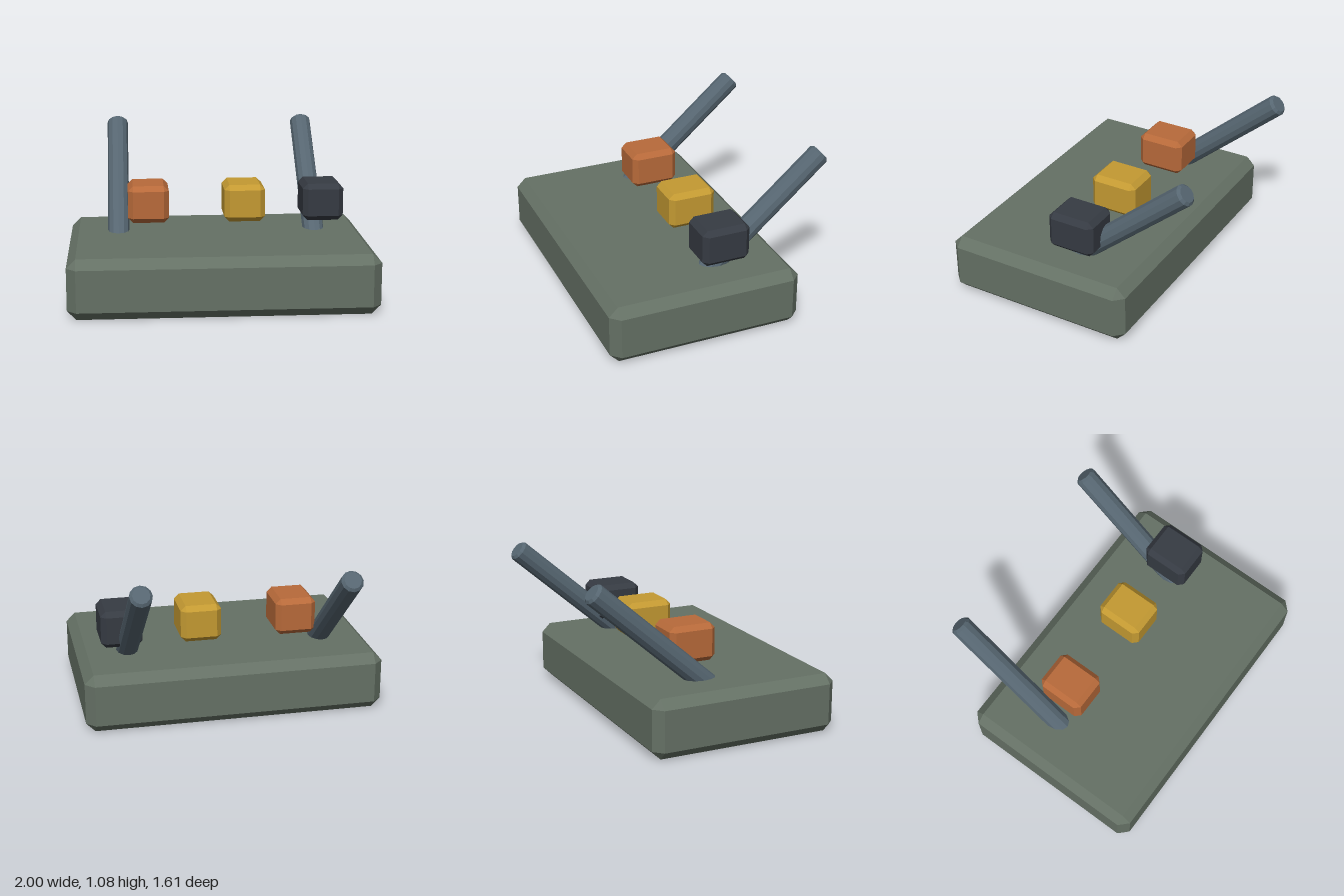
import * as THREE from 'three';
import { ConvexGeometry } from 'three/addons/geometries/ConvexGeometry.js';

const mat = (name, color) => new THREE.MeshStandardMaterial({ name, color, flatShading: true });

// Box with every edge cut by a flat chamfer c
function chamferBox(w, h, d, c) {
  const half = [w / 2, h / 2, d / 2];
  const points = [];
  for (const sx of [-1, 1]) for (const sy of [-1, 1]) for (const sz of [-1, 1]) {
    for (let face = 0; face < 3; face++) {
      const p = half.map((v, i) => (i === face ? v : v - c));
      points.push(new THREE.Vector3(sx * p[0], sy * p[1], sz * p[2]));
    }
  }
  return new ConvexGeometry(points);
}

// Twelve-sided rod with chamfered ends, its top end at the origin
function rodGeometry(r, length, c) {
  const profile = [[0, -length], [r - c, -length], [r, c - length], [r, -c], [r - c, 0], [0, 0]];
  return new THREE.LatheGeometry(profile.map(([x, y]) => new THREE.Vector2(x, y)), 12);
}

export function createModel() {
  const model = new THREE.Group();
  const add = (name, geometry, material, x, y, z) => {
    const mesh = new THREE.Mesh(geometry, material);
    mesh.name = name;
    mesh.position.set(x, y, z);
    model.add(mesh);
    return mesh;
  };

  // Base slab
  add('base', chamferBox(2, 0.395, 1.3, 0.06), mat('greyGreen', 0x657165), 0, 0.1975, 0.157);

  // Rods leaning back out of the base
  const rod = rodGeometry(0.073, 1.27, 0.017);
  const steel = mat('steelBlue', 0x566671);
  for (const [name, x] of [['rightRod', -0.67], ['leftRod', 0.667]]) {
    add(name, rod, steel, x, 1.035, -0.765).rotation.x = THREE.MathUtils.degToRad(-49);
  }

  // Row of floating blocks
  const block = chamferBox(0.275, 0.252, 0.325, 0.034);
  add('orangeBlock', block, mat('orange', 0xb86a3a), -0.468, 0.595, -0.032);
  add('yellowBlock', block, mat('yellow', 0xc49a32), 0.182, 0.595, -0.032);
  add('darkBlock', block, mat('charcoal', 0x363b43), 0.716, 0.595, -0.032);

  return model;
}
